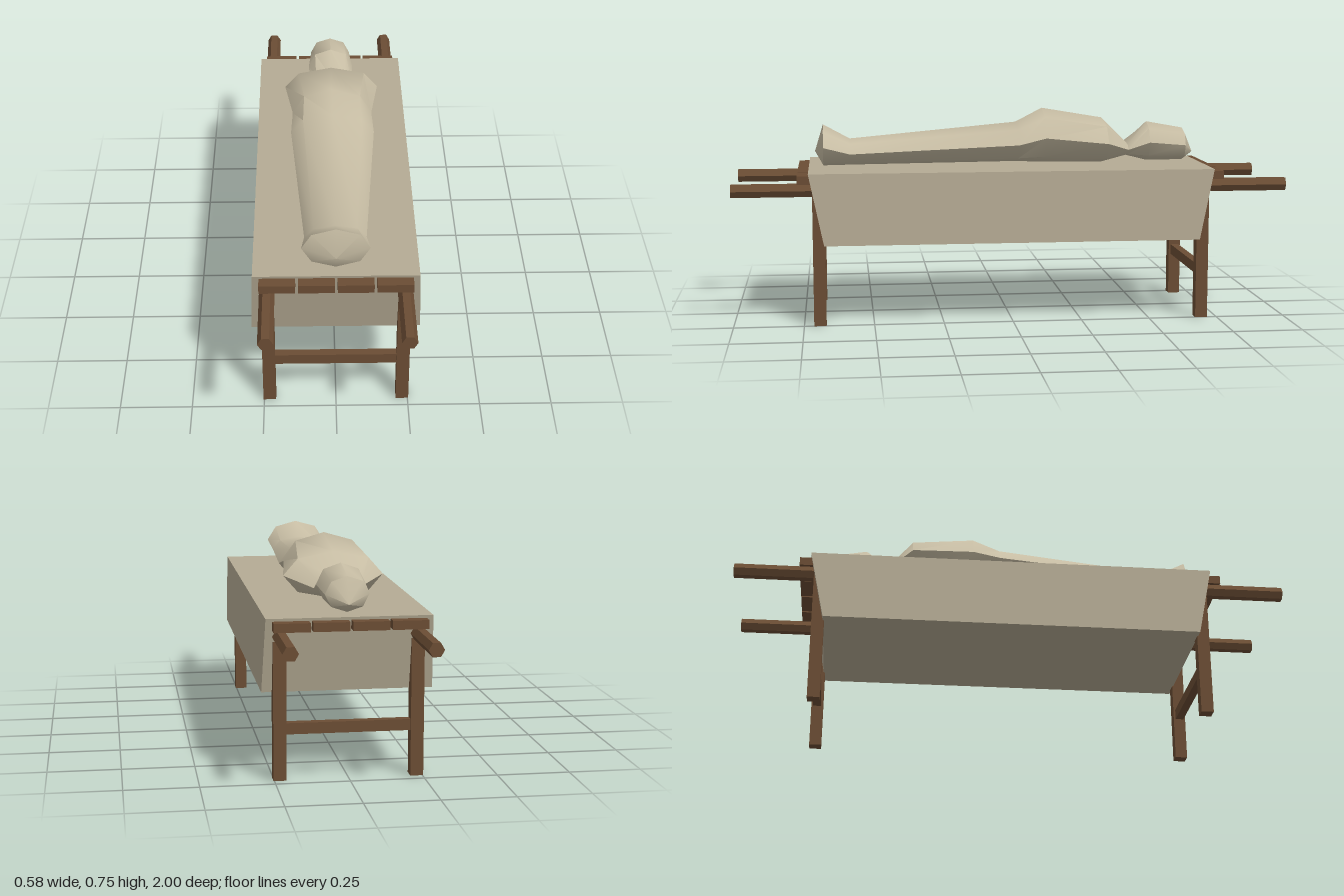
import * as THREE from 'three';
import { toCreasedNormals } from 'three/addons/utils/BufferGeometryUtils.js';

const SIDES = 8;

// Loft of eight-sided elliptical rings [z, halfWidth, top, bottom], closed by a shallow point at each end
function loft(rings, frontTip, backTip) {
  const pos = [], index = [];
  for (const [z, hw, top, bottom] of rings) {
    for (let i = 0; i < SIDES; i++) {
      const a = (i / SIDES) * Math.PI * 2;
      pos.push(hw * Math.sin(a), (top + bottom) / 2 + ((top - bottom) / 2) * Math.cos(a), z);
    }
  }
  const front = pos.length / 3, back = front + 1;
  pos.push(...frontTip, ...backTip);
  const last = (rings.length - 1) * SIDES;
  for (let i = 0; i < SIDES; i++) {
    const j = (i + 1) % SIDES;
    for (let r = 0; r < last; r += SIDES) {
      index.push(r + i, r + j, r + SIDES + i, r + j, r + SIDES + j, r + SIDES + i);
    }
    index.push(front, j, i, back, last + i, last + j);
  }
  const g = new THREE.BufferGeometry();
  g.setAttribute('position', new THREE.Float32BufferAttribute(pos, 3));
  g.setIndex(index);
  return toCreasedNormals(g, 0.8);
}

export function createModel() {
  const model = new THREE.Group();
  model.name = 'shroudedBodyOnBier';

  const wood = new THREE.MeshStandardMaterial({ color: 0x6b4d34 });
  wood.name = 'dark wood';
  const cloth = new THREE.MeshStandardMaterial({ color: 0xb5ab94 });
  cloth.name = 'linen cloth';
  const shroud = new THREE.MeshStandardMaterial({ color: 0xc6bca3 });
  shroud.name = 'pale shroud';

  const add = (name, geometry, material, x, y, z) => {
    const mesh = new THREE.Mesh(geometry, material);
    mesh.name = name;
    mesh.position.set(x, y, z);
    model.add(mesh);
  };

  // Carrying poles, hexagonal with flat tops
  const pole = new THREE.CylinderGeometry(0.026, 0.026, 2, 6).toNonIndexed();
  pole.rotateY(Math.PI / 6).rotateX(Math.PI / 2);
  pole.computeVertexNormals();
  for (const s of [-1, 1]) add(s > 0 ? 'leftPole' : 'rightPole', pole, wood, s * 0.23, 0.487, 0);

  // Legs and crossbars at both ends
  const leg = new THREE.BoxGeometry(0.044, 0.47, 0.044);
  const bar = new THREE.BoxGeometry(0.42, 0.038, 0.03);
  for (const e of [-1, 1]) {
    const end = e > 0 ? 'front' : 'back';
    for (const s of [-1, 1]) add(end + (s > 0 ? 'LeftLeg' : 'RightLeg'), leg, wood, s * 0.231, 0.235, e * 0.693);
    add(end + 'Crossbar', bar, wood, 0, 0.175, e * 0.693);
  }

  // Deck planks
  const plank = new THREE.BoxGeometry(0.121, 0.03, 1.536);
  for (let i = 0; i < 4; i++) add('plank' + (i + 1), plank, wood, (i - 1.5) * 0.1305, 0.5245, 0);

  // Draped cloth: sides flare slightly, ends slope inward
  const drape = new THREE.BoxGeometry(0.556, 0.255, 1.456).toNonIndexed();
  const p = drape.attributes.position;
  for (let i = 0; i < p.count; i++) {
    if (p.getY(i) < 0) p.setXYZ(i, Math.sign(p.getX(i)) * 0.288, p.getY(i), Math.sign(p.getZ(i)) * 0.675);
  }
  drape.computeVertexNormals();
  add('drapedCloth', drape, cloth, 0, 0.4215, 0);

  // Wrapped body, from feet to head
  const body = loft([
    [0.675, 0.115, 0.70, 0.548],
    [0.578, 0.105, 0.647, 0.55],
    [-0.035, 0.152, 0.703, 0.556],
    [-0.134, 0.146, 0.754, 0.552],
    [-0.36, 0.176, 0.716, 0.55],
    [-0.45, 0.08, 0.627, 0.575],
    [-0.53, 0.085, 0.70, 0.555],
    [-0.667, 0.075, 0.675, 0.555],
  ], [0, 0.602, 0.705], [0, 0.585, -0.706]);
  add('wrappedBody', body, shroud, 0, 0, 0);

  return model;
}
